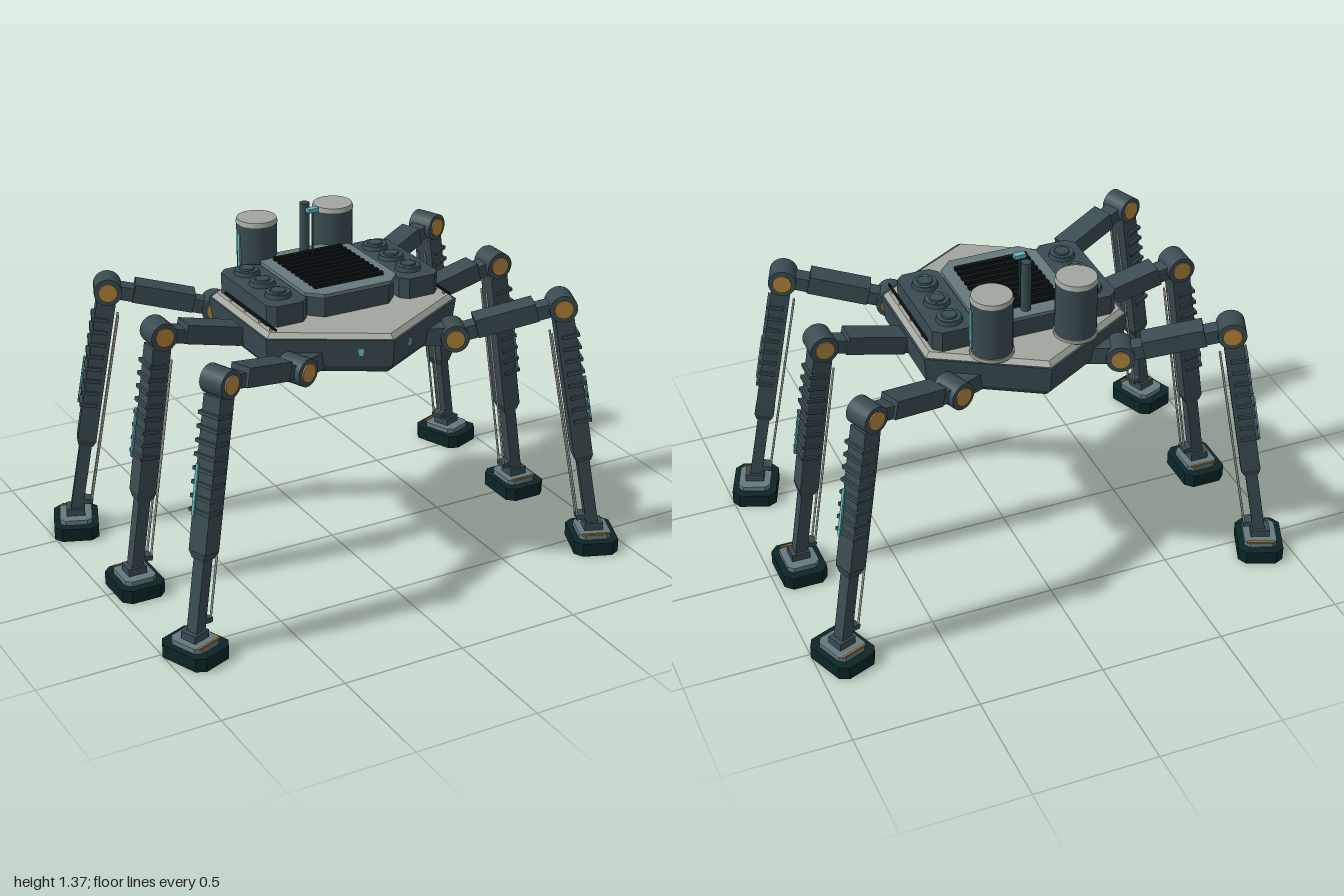
import * as THREE from 'three';

const mat = (name, color) => Object.assign(new THREE.MeshStandardMaterial({ color }), { name });

export function createModel() {
  const slate = mat('slate armour', 0x394b51);
  const steel = mat('blue grey steel', 0x66797e);
  const pale = mat('pale deck', 0xa0a69e);
  const dark = mat('dark rubber', 0x0b2526);
  const black = mat('black grille', 0x0c1416);
  const gold = mat('brass', 0xb08438);
  const cyan = mat('cyan light', 0x62b4bd);

  const root = new THREE.Group();
  root.name = 'hexapodWalker';

  const add = (parent, name, geo, m, x = 0, y = 0, z = 0) => {
    const mesh = new THREE.Mesh(geo, m);
    mesh.name = name;
    mesh.position.set(x, y, z);
    parent.add(mesh);
    return mesh;
  };
  const box = (w, h, d) => new THREE.BoxGeometry(w, h, d);
  const cyl = (rt, rb, h, n = 24) => new THREE.CylinderGeometry(rt, rb, h, n);
  // faceted six-sided slab with a corner pointing forward
  const hex = (rt, rb, h) => {
    const g = cyl(rt, rb, h, 6).toNonIndexed();
    g.computeVertexNormals();
    return g;
  };
  // upright slab with cut corners, base at y = 0
  const slab = (w, h, d, c) => {
    const a = w / 2, b = d / 2;
    const pts = [[a, b - c], [a - c, b], [c - a, b], [-a, b - c], [-a, c - b], [c - a, -b], [a - c, -b], [a, c - b]];
    const s = new THREE.Shape(pts.map(p => new THREE.Vector2(...p)));
    return new THREE.ExtrudeGeometry(s, { depth: h, bevelEnabled: false }).rotateX(-Math.PI / 2);
  };

  // hull
  add(root, 'hullUpper', hex(0.48, 0.465, 0.11), slate, 0, 0.995, 0);
  add(root, 'hullLower', hex(0.465, 0.43, 0.035), slate, 0, 0.9225, 0);
  add(root, 'bellyPlate', hex(0.42, 0.42, 0.006), dark, 0, 0.904, 0);
  add(root, 'deckPlate', hex(0.45, 0.47, 0.018), pale, 0, 1.059, 0);
  for (const s of [-1, 1]) {
    add(root, 'hullLight', box(0.022, 0.03, 0.008), cyan, s * 0.105, 1.0, 0.413).rotation.y = s * Math.PI / 6;
  }

  // belly sensor turret
  add(root, 'turretBase', cyl(0.1, 0.1, 0.05), slate, 0, 0.885, 0);
  add(root, 'turretBarrel', cyl(0.07, 0.07, 0.05), slate, 0, 0.847, 0);
  add(root, 'turretRing', new THREE.TorusGeometry(0.05, 0.009, 8, 28).rotateX(Math.PI / 2), gold, 0, 0.824, 0);
  add(root, 'turretLens', cyl(0.03, 0.03, 0.008), black, 0, 0.82, 0);

  // central engine deck with grille fins
  add(root, 'engineHousing', slab(0.38, 0.085, 0.45, 0.05), slate, 0, 1.065, -0.03);
  add(root, 'enginePlate', slab(0.4, 0.015, 0.475, 0.055), steel, 0, 1.148, -0.035);
  for (let i = 0; i < 10; i++) {
    add(root, 'grilleFin', box(0.3, 0.014, 0.018), black, 0, 1.17, -0.197 + i * 0.036);
  }

  // side pods, vents, rails and deck bolts
  for (const s of [-1, 1]) {
    add(root, 'sidePod', slab(0.17, 0.085, 0.44, 0.03), slate, s * 0.288, 1.065, -0.025);
    for (const z of [-0.165, -0.037, 0.093]) {
      add(root, 'ventDisc', cyl(0.048, 0.052, 0.018), slate, s * 0.285, 1.158, z);
      add(root, 'ventRing', new THREE.TorusGeometry(0.04, 0.0022, 6, 28).rotateX(Math.PI / 2), cyan, s * 0.285, 1.167, z);
      add(root, 'ventHub', cyl(0.028, 0.03, 0.008), slate, s * 0.285, 1.17, z);
    }
    add(root, 'deckRail', box(0.008, 0.008, 0.42), black, s * 0.377, 1.083, 0.04);
    for (const z of [-0.12, 0, 0.12, 0.21]) {
      add(root, 'railBolt', cyl(0.006, 0.006, 0.016, 8), gold, s * 0.377, 1.073, z);
    }
    // rear tanks
    add(root, 'tank', cyl(0.08, 0.08, 0.24, 32), slate, s * 0.17, 1.18, -0.305);
    add(root, 'tankCap', cyl(0.078, 0.083, 0.018, 32), pale, s * 0.17, 1.306, -0.305);
    add(root, 'tankFoot', cyl(0.085, 0.085, 0.015, 32), pale, s * 0.17, 1.072, -0.305);
    add(root, 'tankGauge', box(0.008, 0.16, 0.02), cyan, s * 0.25, 1.18, -0.3);
  }

  // mast and antenna
  add(root, 'mast', cyl(0.02, 0.02, 0.23, 16), slate, 0, 1.255, -0.225);
  add(root, 'antennaRod', cyl(0.004, 0.004, 0.2, 8), slate, 0, 1.255, -0.16);
  add(root, 'antennaTip', box(0.045, 0.016, 0.026), cyan, 0, 1.36, -0.16);

  // group whose local x runs from one joint to the next, y facing up or outward
  const limb = (parent, name, x0, y0, x1, y1) => {
    const g = new THREE.Group();
    g.name = name;
    g.position.set(x0, y0, 0);
    g.rotation.z = Math.atan2(y1 - y0, x1 - x0);
    parent.add(g);
    return g;
  };
  const joint = (parent, name, x, y, len) => {
    add(parent, name, cyl(0.055, 0.055, len).rotateX(Math.PI / 2), slate, x, y, 0);
    add(parent, name + 'Cap', cyl(0.037, 0.037, len + 0.012).rotateX(Math.PI / 2), gold, x, y, 0);
  };

  // one leg pointing along its own +x
  const leg = (name, hx, hz, angle, knee, foot, trim) => {
    const g = new THREE.Group();
    g.name = name;
    g.position.set(hx, 0, hz);
    g.rotation.y = -angle;
    root.add(g);

    add(g, 'hipBracket', box(0.14, 0.07, 0.07), slate, -0.07, 0.96, 0);
    joint(g, 'hip', 0, 0.955, 0.11);
    joint(g, 'knee', knee, 1.055, 0.105);

    const thigh = limb(g, 'thigh', 0, 0.955, knee, 1.055);
    add(thigh, 'thighBeam', box(0.4, 0.055, 0.065), slate, 0.21, 0, 0);
    add(thigh, 'thighCover', box(0.24, 0.075, 0.09), slate, 0.21, 0.012, 0);

    const shin = limb(g, 'shin', knee, 1.055, foot, 0.07);
    add(shin, 'shinUpper', box(0.6, 0.075, 0.082), slate, 0.35, 0, 0);
    const cuff = cyl(0.041, 0.055, 0.03, 4).rotateY(Math.PI / 4).toNonIndexed();
    cuff.computeVertexNormals();
    add(shin, 'shinCuff', cuff.rotateZ(-Math.PI / 2).rotateX(Math.PI).rotateY(0), slate, 0.664, 0, 0);
    add(shin, 'shinLower', box(0.36, 0.048, 0.05), slate, 0.8, 0, 0);
    for (let i = 0; i < 8; i++) {
      add(shin, 'shinRib', box(0.014, 0.07, 0.1), slate, 0.12 + i * 0.053, 0.014, 0);
    }
    add(shin, 'shinLight', box(0.2, 0.008, 0.012), cyan, 0.41, 0.05, 0.026);
    for (const z of [-0.018, 0.018]) {
      add(shin, 'pistonRod', cyl(0.0045, 0.0045, 0.83, 8).rotateZ(Math.PI / 2), pale, 0.52, -0.055, z);
    }
    add(shin, 'pistonMount', box(0.02, 0.045, 0.05), slate, 0.93, -0.038, 0);

    // foot
    add(g, 'footPad', slab(0.18, 0.055, 0.225, 0.03), dark, foot, 0, 0);
    add(g, 'footPlate', slab(0.13, 0.02, 0.155, 0.02), steel, foot, 0.055, 0);
    add(g, 'footTrim', box(0.11, 0.008, 0.008), gold, foot, 0.076, trim * 0.07);
    add(g, 'ankle', box(0.075, 0.035, 0.07), slate, foot, 0.088, 0);
  };

  const splay = 0.376;
  for (const s of [-1, 1]) {
    const turn = a => (s > 0 ? a : Math.PI - a);
    const side = s > 0 ? 'left' : 'right';
    leg(side + 'FrontLeg', s * 0.34, 0.345, turn(splay), 0.42, 0.59, s);
    leg(side + 'MiddleLeg', s * 0.33, 0, turn(0), 0.41, 0.55, 1);
    leg(side + 'RearLeg', s * 0.34, -0.345, turn(-splay), 0.42, 0.59, -s);
  }
  return root;
}
